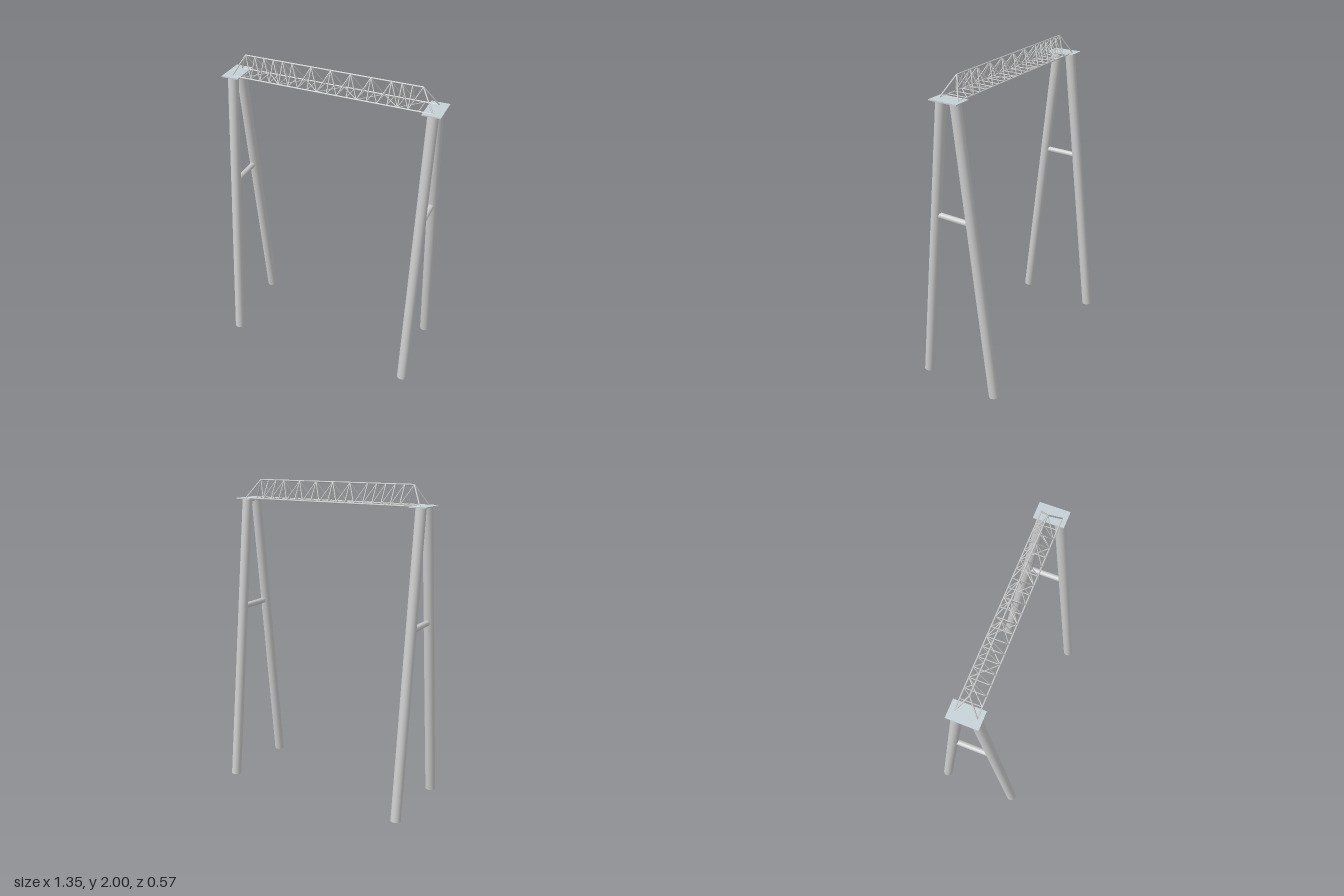
import * as THREE from 'three';

const GREY = new THREE.MeshStandardMaterial({ color: 0xcccccc });
const PLATE = new THREE.MeshStandardMaterial({ color: 0xc4d0d6 });
const UP = new THREE.Vector3(0, 1, 0);

// Round bar between two points
function rod(name, a, b, radius, sides = 8) {
  const from = new THREE.Vector3(...a);
  const dir = new THREE.Vector3(...b).sub(from);
  const mesh = new THREE.Mesh(new THREE.CylinderGeometry(radius, radius, dir.length(), sides), GREY);
  mesh.name = name;
  mesh.position.copy(from).addScaledVector(dir, 0.5);
  mesh.quaternion.setFromUnitVectors(UP, dir.normalize());
  return mesh;
}

// A-shaped support: two leaning legs, crossbar, top tie and cap plate
function createSupport(x) {
  const support = new THREE.Group();
  support.name = x > 0 ? 'leftSupport' : 'rightSupport';
  support.add(
    rod('frontLeg', [x, 0.004, 0.255], [x, 1.87, 0.055], 0.032, 24),
    rod('backLeg', [x, 0.004, -0.256], [x, 1.87, -0.039], 0.032, 24),
    rod('crossbar', [x, 1.17, 0.108], [x, 1.17, -0.098], 0.018, 20),
    rod('topTie', [x, 1.865, 0.05], [x, 1.865, -0.035], 0.01, 16)
  );
  const plate = new THREE.Mesh(new THREE.BoxGeometry(0.109, 0.007, 0.184), PLATE);
  plate.name = 'capPlate';
  plate.position.set(x, 1.876, 0.006);
  support.add(plate);
  return support;
}

// Triangular lattice beam
function createTruss() {
  const truss = new THREE.Group();
  truss.name = 'truss';
  const low = 1.878, high = 1.995, mid = 0.006, half = 0.062;
  const bays = 18, start = -0.553, pitch = 0.0607, end = 0.62;
  const chord = 0.0045, web = 0.0032;
  const nodeX = i => start + i * pitch;
  const top = i => [nodeX(i), high, mid];
  const bottom = (i, s) => [nodeX(i), low, mid + s * half];

  truss.add(rod('topChord', top(0), top(bays), chord));
  // Which way the web leans in each bay: D falls, U rises
  const lean = 'DDDDDDUDUDUDUDUDDU';
  for (const s of [-1, 1]) {
    const z = mid + s * half;
    truss.add(
      rod('bottomChord', [-end, low, z], [end, low, z], chord),
      rod('endStrut', [-end, low, z], top(0), chord),
      rod('endStrut', [end, low, z], top(bays), chord)
    );
    for (let i = 0; i < bays; i++) {
      truss.add(lean[i] === 'D'
        ? rod('webDiagonal', top(i), bottom(i + 1, s), web, 6)
        : rod('webDiagonal', bottom(i, s), top(i + 1), web, 6));
      if (i > 0 && (i % 2 === 1 || i < 6 || i === 16)) {
        truss.add(rod('webPost', bottom(i, s), top(i), web, 6));
      }
    }
  }
  // Floor ties and zigzag lacing
  for (let i = 0; i <= bays; i++) {
    truss.add(rod('floorTie', bottom(i, -1), bottom(i, 1), web, 6));
    if (i % 2 === 0 && i < bays) {
      const s = i % 4 === 0 ? 1 : -1;
      truss.add(rod('floorLacing', bottom(i, s), bottom(i + 2, -s), web, 6));
    }
  }
  return truss;
}

export function createModel() {
  const model = new THREE.Group();
  model.name = 'trussGantry';
  model.add(createSupport(-0.62), createSupport(0.62), createTruss());
  return model;
}
